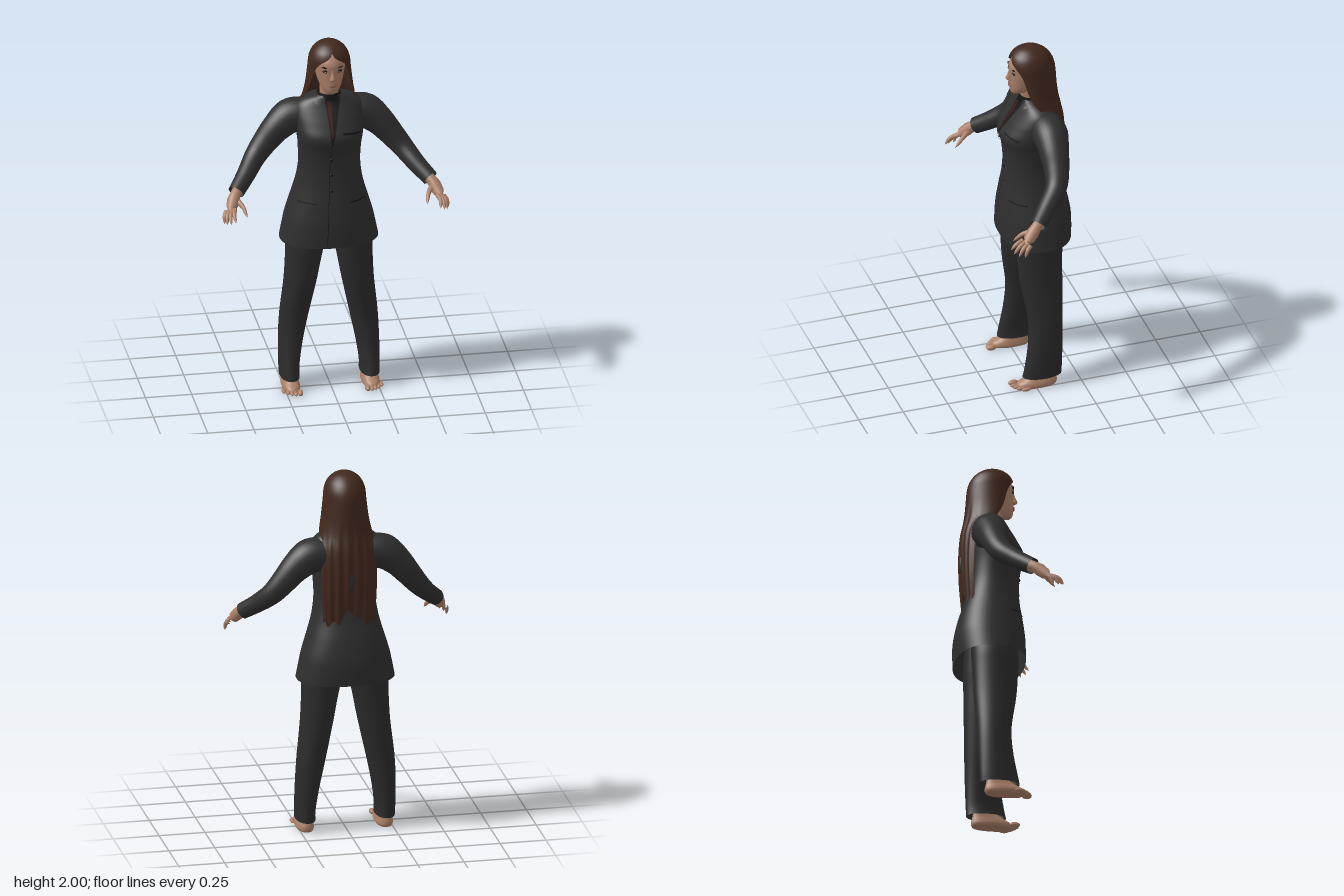
import * as THREE from 'three';

const mat = (name, color, side = THREE.FrontSide) => {
  const m = new THREE.MeshStandardMaterial({ color, side });
  m.name = name;
  return m;
};

// Smooth in-between rows for a table of cross-sections
function densify(rows, steps = 5) {
  const out = [];
  const at = i => rows[Math.max(0, Math.min(rows.length - 1, i))];
  for (let i = 0; i < rows.length - 1; i++)
    for (let s = 0; s < steps; s++) {
      const t = s / steps;
      out.push(at(i).map((b, k) => {
        const a = at(i - 1)[k], c = at(i + 1)[k], d = at(i + 2)[k];
        return b + 0.5 * t * (c - a + t * (2 * a - 5 * b + 4 * c - d + t * (3 * (b - c) + d - a)));
      }));
    }
  out.push(rows[rows.length - 1]);
  return out;
}

// Surface through nv rows of nu points, optionally closed around and capped
function grid(nu, nv, fn, wrap = false, caps = false) {
  const pos = [], idx = [];
  for (let j = 0; j < nv; j++) for (let i = 0; i < nu; i++) pos.push(...fn(i, j));
  for (let j = 0; j < nv - 1; j++)
    for (let i = 0; i < (wrap ? nu : nu - 1); i++) {
      const a = j * nu + i, b = j * nu + (i + 1) % nu;
      idx.push(a, a + nu, b, b, a + nu, b + nu);
    }
  if (caps) for (const j of [0, nv - 1]) {
    const c = [0, 0, 0], n = pos.length / 3;
    for (let i = 0; i < nu; i++) for (let k = 0; k < 3; k++) c[k] += pos[(j * nu + i) * 3 + k] / nu;
    pos.push(...c);
    for (let i = 0; i < nu; i++) {
      const a = j * nu + i, b = j * nu + (i + 1) % nu;
      idx.push(...(j ? [n, b, a] : [n, a, b]));
    }
  }
  const g = new THREE.BufferGeometry();
  g.setAttribute('position', new THREE.Float32BufferAttribute(pos, 3));
  g.setIndex(idx);
  g.computeVertexNormals();
  return g;
}

// Rounded body from rows of [y, centre x, half width, front z, back z]
function loft(rows, { e = 2, n = 36, caps = true } = {}) {
  const r = densify(rows), p = v => Math.sign(v) * Math.abs(v) ** (2 / e);
  return grid(n, r.length, (i, j) => {
    const [y, cx, w, zf, zb] = r[j], a = i / n * Math.PI * 2;
    return [cx + w * p(Math.cos(a)), y, (zf + zb) / 2 + (zf - zb) / 2 * p(Math.sin(a))];
  }, true, caps);
}

// Tube along points with a radius for each point
function limb(points, radii, n = 16, seg = 28) {
  const curve = new THREE.CatmullRomCurve3(points.map(p => new THREE.Vector3(...p)));
  const g = new THREE.TubeGeometry(curve, seg, 1, n), pos = g.attributes.position;
  const v = new THREE.Vector3();
  for (let j = 0; j <= seg; j++) {
    const c = curve.getPointAt(j / seg), f = j / seg * (radii.length - 1);
    const k = Math.min(Math.floor(f), radii.length - 2);
    const r = THREE.MathUtils.lerp(radii[k], radii[k + 1], f - k);
    for (let i = 0; i <= n; i++) {
      const q = j * (n + 1) + i;
      v.fromBufferAttribute(pos, q).sub(c).multiplyScalar(r).add(c);
      pos.setXYZ(q, v.x, v.y, v.z);
    }
  }
  return g;
}

function blob(x, y, z, sx, sy, sz, tilt = 0) {
  return new THREE.SphereGeometry(1, 18, 12).scale(sx, sy, sz).rotateZ(tilt).translate(x, y, z);
}

function mirrored(g) {
  const m = g.clone().scale(-1, 1, 1), a = m.index.array;
  for (let i = 0; i < a.length; i += 3) [a[i], a[i + 1]] = [a[i + 1], a[i]];
  return m;
}

const JACKET = [
  [0.855, 0, 0.265, 0.13, -0.25], [0.93, 0, 0.25, 0.13, -0.253], [1.0, 0, 0.235, 0.127, -0.25],
  [1.1, 0, 0.205, 0.115, -0.23], [1.2, 0, 0.178, 0.1, -0.2], [1.3, 0, 0.165, 0.095, -0.178],
  [1.4, 0, 0.168, 0.105, -0.172], [1.48, 0, 0.178, 0.124, -0.18], [1.55, 0, 0.186, 0.088, -0.185],
  [1.6, 0, 0.186, 0.055, -0.18], [1.64, 0, 0.172, 0.028, -0.165], [1.67, 0, 0.13, 0.012, -0.14],
  [1.692, 0, 0.065, 0.006, -0.11]];
const JACKET_E = 2.3, JACKET_ROWS = densify(JACKET);

// Height of the jacket front at (x, y)
function frontZ(x, y) {
  let k = JACKET_ROWS.findIndex(r => r[0] > y);
  if (k < 1) k = k < 0 ? JACKET_ROWS.length - 1 : 1;
  const a = JACKET_ROWS[k - 1], b = JACKET_ROWS[k], t = (y - a[0]) / (b[0] - a[0]);
  const [, , w, f, bk] = a.map((v, i) => v + (b[i] - v) * t);
  const s = Math.max(0, 1 - Math.min(1, Math.abs(x / w)) ** JACKET_E) ** (1 / JACKET_E);
  return (f + bk) / 2 + (f - bk) / 2 * s;
}

// Thin cloth piece lying on the jacket front; corners are bottom and top x pairs
function patch(y0, y1, [l0, r0], [l1, r1], lift, slope = 0) {
  return grid(9, 17, (i, j) => {
    const u = 1 - i / 8, v = j / 16;
    const x = THREE.MathUtils.lerp(l0 + (r0 - l0) * u, l1 + (r1 - l1) * u, v);
    const y = y0 + (y1 - y0) * v + slope * u;
    return [x, y, frontZ(x, y) + lift];
  });
}

export function createModel() {
  const model = new THREE.Group();
  const D = THREE.DoubleSide;
  const suit = mat('charcoal cloth', 0x2e2e2f, D), trouser = mat('trouser cloth', 0x2b2b2c, D);
  const dark = mat('black cloth', 0x151516, D), skin = mat('skin', 0xab8068);
  const hairMat = mat('brown hair', 0x41281d, D), tieMat = mat('dark red silk', 0x3c1812, D);
  const lipMat = mat('lips', 0x87594a), eyeMat = mat('dark eye', 0x21150f), white = mat('eye white', 0xb5a89c);
  const add = (name, g, m) => {
    const mesh = new THREE.Mesh(g, m);
    mesh.name = name;
    model.add(mesh);
  };
  const pair = (name, g, m) => { add('left ' + name, g, m); add('right ' + name, mirrored(g), m); };

  // Jacket, shirt opening and trim
  add('jacket body', loft(JACKET, { e: JACKET_E, n: 56, caps: false }), suit);
  add('shirt front', patch(1.45, 1.69, [-0.014, -0.008], [-0.035, 0.055], 0.003), dark);
  add('tie', patch(1.5, 1.665, [-0.012, -0.004], [-0.022, 0.002], 0.006), tieMat);
  add('left lapel', patch(1.45, 1.68, [-0.008, 0.004], [0.05, 0.095], 0.008), suit);
  add('right lapel', patch(1.45, 1.68, [-0.02, -0.014], [-0.09, -0.034], 0.008), suit);
  add('front seam', patch(0.87, 1.45, [-0.04, -0.037], [-0.014, -0.011], 0.002), dark);
  add('breast pocket', patch(1.508, 1.518, [0.05, 0.15], [0.05, 0.15], 0.004, -0.012), dark);
  pair('hip pocket', patch(1.105, 1.111, [0.09, 0.185], [0.09, 0.185], 0.003), dark);
  for (const y of [1.18, 1.27, 1.36])
    add('button', blob(-0.012, y, frontZ(0, y), 0.009, 0.009, 0.006), dark);
  add('shirt collar', loft([[1.66, 0, 0.066, 0.016, -0.112], [1.685, 0, 0.062, 0.014, -0.106],
    [1.705, 0, 0.058, 0.01, -0.1]], { caps: false }), dark);

  // Sleeves
  pair('sleeve', limb([[0.1, 1.56, -0.085], [0.2, 1.55, -0.092], [0.273, 1.493, -0.088], [0.335, 1.42, -0.082],
    [0.395, 1.345, -0.06], [0.46, 1.27, 0.012], [0.525, 1.207, 0.085]],
  [0.09, 0.096, 0.078, 0.066, 0.056, 0.049, 0.044], 28, 40), suit);

  // Hands
  pair('palm', limb([[0.505, 1.225, 0.065], [0.535, 1.195, 0.105], [0.555, 1.16, 0.14], [0.572, 1.132, 0.17],
    [0.576, 1.126, 0.176]], [0.03, 0.028, 0.034, 0.03, 0.0]), skin);
  const tips = [[0.553, 1.1, 0.248], [0.576, 1.086, 0.238], [0.594, 1.077, 0.215], [0.603, 1.07, 0.183]];
  tips.forEach(([x, y, z], i) => {
    const b = [0.548 + 0.013 * i, 1.148 - 0.006 * i, 0.178 - 0.01 * i];
    const mid = [(b[0] + x) / 2 + 0.006, (b[1] + y) / 2 + 0.01, (b[2] + z) / 2 + 0.004];
    pair('finger', limb([b, mid, [x, y, z]], [0.013, 0.0125, 0.011, 0.01, 0.008, 0.0], 10, 18), skin);
  });
  pair('thumb', limb([[0.535, 1.18, 0.115], [0.502, 1.155, 0.165], [0.486, 1.112, 0.213]],
    [0.02, 0.017, 0.013, 0.011, 0.009, 0.0], 10, 18), skin);

  // Trousers
  pair('trouser leg', loft([[0.06, 0.216, 0.053, 0.067, -0.147], [0.12, 0.217, 0.054, 0.055, -0.15],
    [0.25, 0.207, 0.064, 0.033, -0.156], [0.4, 0.188, 0.076, 0.027, -0.162], [0.6, 0.156, 0.086, 0.058, -0.17],
    [0.75, 0.138, 0.096, 0.07, -0.175], [0.86, 0.125, 0.106, 0.075, -0.178], [1.0, 0.105, 0.105, 0.07, -0.175]],
  { n: 40, caps: false, e: 2.15 }), trouser);

  // Bare feet
  pair('foot', loft([[0, 0.215, 0.042, 0.085, -0.115], [0.012, 0.215, 0.048, 0.1, -0.121],
    [0.03, 0.215, 0.046, 0.09, -0.121], [0.05, 0.213, 0.04, 0.055, -0.116], [0.08, 0.212, 0.036, 0.01, -0.11],
    [0.12, 0.212, 0.034, -0.005, -0.1]], { e: 2.4 }), skin);
  for (let i = 0; i < 5; i++) {
    const r = i ? 0.0105 : 0.015;
    pair('toe', blob(0.182 + i * 0.0195 + (i ? 0.004 : 0), r, 0.11 - 0.003 * i * i, r, r, 0.028), skin);
  }

  // Neck, head and face
  add('neck', loft([[1.62, 0, 0.06, 0.005, -0.1], [1.68, 0, 0.052, 0.006, -0.095], [1.77, 0, 0.05, 0.02, -0.09]]), skin);
  add('head', loft([[1.724, 0, 0.02, 0.054, 0.0], [1.735, 0, 0.038, 0.063, -0.04], [1.76, 0, 0.055, 0.069, -0.08],
    [1.8, 0, 0.07, 0.069, -0.12], [1.85, 0, 0.081, 0.07, -0.14], [1.9, 0, 0.085, 0.07, -0.145],
    [1.95, 0, 0.065, 0.035, -0.12], [1.975, 0, 0.025, -0.01, -0.07]], { n: 44 }), skin);
  add('nose', loft([[1.806, 0, 0.011, 0.073, 0.05], [1.815, 0, 0.017, 0.088, 0.05], [1.826, 0, 0.014, 0.091, 0.05],
    [1.85, 0, 0.009, 0.08, 0.05], [1.88, 0, 0.008, 0.071, 0.05]], { n: 20 }), skin);
  add('upper lip', blob(0, 1.784, 0.068, 0.024, 0.005, 0.008), lipMat);
  add('lower lip', blob(0, 1.775, 0.067, 0.02, 0.006, 0.009), lipMat);
  pair('eye shadow', blob(0.034, 1.863, 0.0595, 0.019, 0.009, 0.006, 0.12), eyeMat);
  pair('eye', blob(0.034, 1.861, 0.0615, 0.012, 0.0045, 0.0055, 0.1), white);
  pair('iris', blob(0.033, 1.861, 0.0645, 0.0045, 0.0045, 0.004), eyeMat);
  pair('eyebrow', blob(0.036, 1.884, 0.06, 0.023, 0.0045, 0.006, 0.25), eyeMat);

  // Long hair from rows of [y, half width, centre z, back depth, front depth, half angle]
  const hair = densify([
    [1.19, 0.14, -0.16, 0.042, 0.04, 1.5], [1.35, 0.15, -0.16, 0.056, 0.05, 1.5], [1.5, 0.153, -0.15, 0.07, 0.06, 1.53],
    [1.6, 0.151, -0.125, 0.088, 0.07, 1.58], [1.68, 0.141, -0.06, 0.138, 0.08, 1.78], [1.75, 0.128, -0.043, 0.147, 0.09, 2.0],
    [1.85, 0.116, -0.04, 0.143, 0.1, 2.25], [1.9, 0.111, -0.04, 0.134, 0.112, 2.5], [1.935, 0.1, -0.04, 0.118, 0.106, 2.95],
    [1.962, 0.083, -0.04, 0.096, 0.09, Math.PI], [1.985, 0.055, -0.04, 0.064, 0.06, Math.PI],
    [1.996, 0.028, -0.04, 0.032, 0.03, Math.PI], [2.0, 0, -0.04, 0, 0, Math.PI]]);
  add('hair', grid(97, hair.length, (i, j) => {
    const [y, w, zc, db, df, a] = hair[j];
    const t = (i / 48 - 1) * Math.min(a, Math.PI), c = Math.cos(t);
    const low = THREE.MathUtils.clamp((1.4 - y) / 0.2, 0, 1), wave = THREE.MathUtils.clamp((1.8 - y) / 0.2, 0, 1);
    const jag = low * (0.07 * Math.exp(-((t / 0.35) ** 2)) + 0.015 * Math.sin(11 * t));
    const d = (c > 0 ? db : df) + wave * 0.004 * Math.sin(17 * t);
    return [w * Math.sin(t), y + jag, zc - d * c];
  }), hairMat);
  add('gap in hair', blob(0, 1.43, -0.217, 0.018, 0.05, 0.008), suit);

  return model;
}
